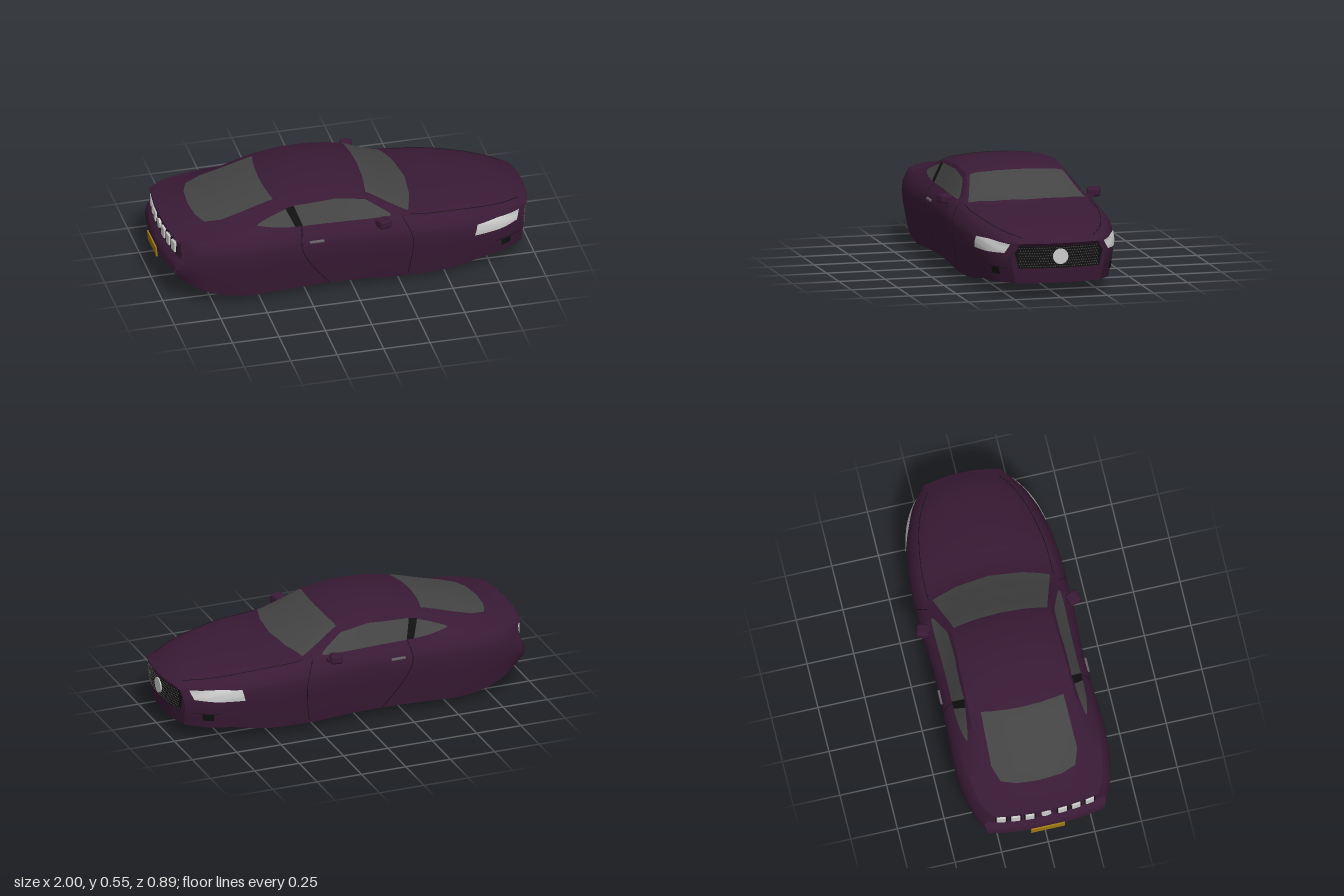
import * as THREE from 'three';
import { toCreasedNormals, mergeGeometries } from 'three/addons/utils/BufferGeometryUtils.js';
import { RoundedBoxGeometry } from 'three/addons/geometries/RoundedBoxGeometry.js';

const mat = (color) => new THREE.MeshStandardMaterial({ color, side: THREE.DoubleSide });
const paint = mat(0x391a35);
const glass = mat(0x444444);
const black = mat(0x111111);
const grey = mat(0xcccccc);
const floorGrey = mat(0x555555);
const discGrey = mat(0x5a5a5a);
const handleGrey = mat(0x666066);
const yellow = mat(0xa07a14);

// Body stations: x, half width, sill y, widest y, belt y, roof edge z, roof edge y, top y, plan bow
const STATIONS = [
  [-0.965, 0.322, 0.15, 0.26, 0.355, 0.27, 0.378, 0.39, -0.35],
  [-0.9, 0.364, 0.115, 0.27, 0.365, 0.28, 0.383, 0.397, -0.35],
  [-0.78, 0.395, 0.068, 0.28, 0.375, 0.285, 0.395, 0.425, -0.3],
  [-0.6, 0.408, 0.04, 0.29, 0.38, 0.285, 0.435, 0.475, -0.2],
  [-0.38, 0.4, 0.042, 0.29, 0.38, 0.28, 0.498, 0.532, -0.1],
  [-0.15, 0.393, 0.045, 0.29, 0.378, 0.275, 0.522, 0.555, 0],
  [0.08, 0.398, 0.045, 0.29, 0.376, 0.268, 0.503, 0.531, 0.2],
  [0.24, 0.405, 0.04, 0.285, 0.372, 0.3, 0.436, 0.461, 0.4],
  [0.38, 0.405, 0.035, 0.28, 0.363, 0.335, 0.385, 0.402, 0.55],
  [0.6, 0.396, 0.04, 0.275, 0.345, 0.33, 0.368, 0.385, 0.65],
  [0.8, 0.365, 0.066, 0.25, 0.315, 0.29, 0.342, 0.362, 0.8],
  [0.92, 0.318, 0.07, 0.22, 0.285, 0.25, 0.315, 0.335, 0.78],
  [1, 0.25, 0.075, 0.19, 0.262, 0.205, 0.288, 0.298, 0.65],
];
const S0 = -0.965, S1 = 1;
// x of the nose and tail faces by height: [y, x]
const NOSE = [[0.075, 0.97], [0.16, 0.98], [0.27, 0.985], [0.288, 1], [0.298, 0.995]];
const TAIL = [[0.15, -0.95], [0.2, -0.988], [0.245, -0.98], [0.275, -0.953], [0.355, -0.948], [0.378, -0.965], [0.39, -0.962]];

function lerpTable(t, x) {
  if (x <= t[0][0]) return t[0][1];
  for (let i = 1; i < t.length; i++) {
    if (x <= t[i][0]) {
      const k = (x - t[i - 1][0]) / (t[i][0] - t[i - 1][0] || 1);
      return t[i - 1][1] + k * (t[i][1] - t[i - 1][1]);
    }
  }
  return t[t.length - 1][1];
}

// Smooth value of one station column
function station(s, col) {
  const n = STATIONS.length;
  let i = 0;
  while (i < n - 2 && s > STATIONS[i + 1][0]) i++;
  const slope = (k) => {
    const a = STATIONS[Math.max(k - 1, 0)], b = STATIONS[Math.min(k + 1, n - 1)];
    return (b[col] - a[col]) / (b[0] - a[0]);
  };
  const a = STATIONS[i], b = STATIONS[i + 1], h = b[0] - a[0], t = (s - a[0]) / h;
  const t2 = t * t, t3 = t2 * t;
  return (2 * t3 - 3 * t2 + 1) * a[col] + (t3 - 2 * t2 + t) * h * slope(i)
    + (3 * t2 - 2 * t3) * b[col] + (t3 - t2) * h * slope(i + 1);
}

// Half cross-section [z, y] from the inner sill lip to the top centre
function section(s) {
  const [w, yb, yw, yk, zr, yr, yt] = [1, 2, 3, 4, 5, 6, 7].map((c) => station(s, c));
  const up = (k) => yr + k * (yt - yr);
  return [
    [0.84 * w, Math.max(yb, 0.068)], [0.91 * w, yb], [0.95 * w, yb + 0.35 * (yw - yb)],
    [0.985 * w, yb + 0.7 * (yw - yb)], [w, yw], [0.985 * w, yw + 0.5 * (yk - yw)],
    [0.92 * w, yk], [0.88 * w, yk + 0.014], [zr, yr], [0.8 * zr, up(0.55)], [0.42 * zr, up(0.88)], [0, yt],
  ];
}

function bodyX(s, z, y) {
  const front = THREE.MathUtils.smoothstep(s, 0.86, S1), back = 1 - THREE.MathUtils.smoothstep(s, S0, -0.85);
  return s + front * (lerpTable(NOSE, y) - S1) + back * (lerpTable(TAIL, y) - S0) - station(s, 8) * z * z;
}

function solve(x, f) {
  let a = S0, b = S1;
  for (let k = 0; k < 26; k++) {
    const m = (a + b) / 2;
    if (f(m) < x) a = m; else b = m;
  }
  return (a + b) / 2;
}

// Points lying just off the body, found from two coordinates
const OFF = 0.004;
function onSide([x, y]) {
  const zAt = (s) => lerpTable(section(s).slice(1).map(([z, h]) => [h, z]), y);
  const s = solve(x, (t) => bodyX(t, zAt(t), y));
  return new THREE.Vector3(x, y, zAt(s) + OFF);
}
function onTop([x, z]) {
  const yAt = (s) => lerpTable(section(s).slice(6).reverse(), Math.abs(z));
  const s = solve(x, (t) => bodyX(t, z, yAt(t)));
  return new THREE.Vector3(x, yAt(s) + OFF, z);
}
const onNose = ([z, y]) => new THREE.Vector3(bodyX(S1, z, y) + OFF, y, z);
const onTail = ([z, y]) => new THREE.Vector3(bodyX(S0, z, y) - OFF, y, z);

// Grid surface from a point rule
function grid(nu, nv, point) {
  const pos = [], idx = [];
  for (let i = 0; i <= nu; i++) for (let j = 0; j <= nv; j++) pos.push(...point(i, j).toArray());
  for (let i = 0; i < nu; i++) for (let j = 0; j < nv; j++) {
    const a = i * (nv + 1) + j, b = a + nv + 1;
    idx.push(a, b, b + 1, a, b + 1, a + 1);
  }
  const g = new THREE.BufferGeometry();
  g.setAttribute('position', new THREE.Float32BufferAttribute(pos, 3));
  g.setIndex(idx);
  g.computeVertexNormals();
  return g;
}
function along(poly, t) {
  const f = t * (poly.length - 1), i = Math.min(Math.floor(f), poly.length - 2), k = f - i;
  return [0, 1].map((c) => poly[i][c] + k * (poly[i + 1][c] - poly[i][c]));
}
// Panel between two outlines, laid on the body
const panel = (lower, upper, project, nu = 24, nv = 8) => grid(nu, nv, (i, j) =>
  project(along([along(lower, i / nu), along(upper, i / nu)], j / nv)));

// Thin dark line following the body
function seam(line, project) {
  const path = new THREE.SplineCurve(line.map((p) => new THREE.Vector2(...p))).getPoints(20).map((p) => project([p.x, p.y]));
  return new THREE.TubeGeometry(new THREE.CatmullRomCurve3(path), 40, 0.0018, 5)
    .translate(0, project === onTop ? -OFF : 0, project === onSide ? -OFF : 0);
}

export function createModel() {
  const car = new THREE.Group();
  car.name = 'car';
  const add = (name, geo, material, parent = car) => {
    const m = new THREE.Mesh(geo, material);
    m.name = name;
    parent.add(m);
    return m;
  };

  // Body shell, nose and tail faces
  const N = 64;
  const sAt = (i) => S0 + (S1 - S0) * i / N;
  const rings = Array.from({ length: N + 1 }, (_, i) => section(sAt(i)));
  add('bodyShell', toCreasedNormals(grid(N, 22, (i, j) => {
    const [z, y] = rings[i][j < 12 ? j : 22 - j];
    return new THREE.Vector3(bodyX(sAt(i), z, y), y, j < 12 ? z : -z);
  }), 0.5), paint);
  for (const [name, s, ring, dir] of [['noseFace', S1, rings[N], -1], ['tailFace', S0, rings[0], 1]]) {
    const rows = [];
    for (let k = 1; k < 11; k++) for (let q = 0; q < 3; q++) rows.push(along([ring[k], ring[k + 1]], q / 3));
    rows.push(ring[11]);
    add(name, toCreasedNormals(grid(14, rows.length - 1, (i, j) => {
      const [w, y] = rows[j], z = dir * w * (i / 7 - 1);
      return new THREE.Vector3(bodyX(s, z, y), y, z);
    }), 0.5), paint);
  }

  // Underside: painted ends and grey floor
  const under = (from, to) => grid(to - from, 10, (i, j) => {
    const [w, y] = rings[from + i][0], z = w * (j / 5 - 1);
    return new THREE.Vector3(bodyX(sAt(from + i), z, y), y, z);
  });
  add('rearUnderside', under(0, 5), paint);
  add('floor', under(5, 60), floorGrey);
  add('frontUnderside', under(60, N), paint);

  // Hover discs
  const profile = [[0, 0.016], [0.09, 0.013], [0.115, 0.022], [0.12, 0.03], [0.135, 0.03], [0.14, 0.004], [0.165, 0.004],
    [0.172, 0.018], [0.235, 0.022], [0.275, 0.05], [0.278, 0.085]].map((p) => new THREE.Vector2(...p));
  const discGeo = toCreasedNormals(new THREE.LatheGeometry(profile, 40), 0.5);
  for (const [name, x, y, tilt] of [['rearHoverDisc', -0.38, 0.005, -0.012], ['frontHoverDisc', 0.45, 0.002, 0.035]]) {
    const d = add(name, discGeo, discGrey);
    d.position.set(x, y, 0);
    d.rotation.z = tilt;
  }

  // Windscreen and rear window
  add('windscreen', panel(
    [[0.09, 0.25], [0.105, 0.13], [0.11, 0], [0.105, -0.13], [0.09, -0.25]],
    [[0.305, 0.315], [0.345, 0.18], [0.365, 0], [0.345, -0.18], [0.305, -0.315]], onTop), glass);
  add('rearWindow', panel(
    [[-0.4, 0.222], [-0.41, 0.17], [-0.42, 0.1], [-0.425, 0], [-0.42, -0.1], [-0.41, -0.17], [-0.4, -0.222]],
    [[-0.68, 0.23], [-0.765, 0.2], [-0.795, 0.12], [-0.805, 0], [-0.795, -0.12], [-0.765, -0.2], [-0.68, -0.23]], onTop), glass);

  // Everything that repeats on both sides
  for (const side of [1, -1]) {
    const half = new THREE.Group();
    half.name = side > 0 ? 'leftSide' : 'rightSide';
    half.scale.z = side;
    car.add(half);
    const lay = (name, lower, upper, m, project = onSide) => add(name, panel(lower, upper, project), m, half);
    lay('quarterWindow', [[-0.51, 0.428], [-0.4, 0.412], [-0.31, 0.405]], [[-0.5, 0.436], [-0.42, 0.466], [-0.35, 0.489]], glass);
    lay('windowPillar', [[-0.31, 0.405], [-0.27, 0.405]], [[-0.35, 0.491], [-0.305, 0.5]], black);
    lay('doorWindow', [[-0.27, 0.404], [-0.05, 0.4], [0.1, 0.398], [0.205, 0.398]],
      [[-0.305, 0.5], [-0.08, 0.508], [0.08, 0.482], [0.2, 0.408]], glass);
    lay('headlight', [[0.65, 0.226], [0.78, 0.225], [0.9, 0.232]], [[0.665, 0.287], [0.78, 0.29], [0.918, 0.28]], grey);
    lay('bumperSlot', [[0.805, 0.113], [0.86, 0.113]], [[0.805, 0.15], [0.86, 0.15]], black);
    add('bumperCrease', seam([[0.77, 0.152], [0.84, 0.153], [0.91, 0.15]], onSide), black, half);

    // Door and bonnet seams
    add('doorRearSeam', seam([[-0.275, 0.4], [-0.285, 0.3], [-0.235, 0.19], [-0.13, 0.05]], onSide), black, half);
    add('doorFrontSeam', seam([[0.265, 0.385], [0.305, 0.3], [0.31, 0.2], [0.29, 0.05]], onSide), black, half);
    add('bonnetSeam', seam([[0.31, 0.335], [0.5, 0.33], [0.7, 0.295], [0.83, 0.25], [0.93, 0.19]], onTop), black, half);

    // Door handle and mirror
    const handle = add('doorHandle', new RoundedBoxGeometry(0.08, 0.014, 0.014, 2, 0.005), handleGrey, half);
    handle.position.copy(onSide([-0.205, 0.327]));
    const mirror = add('mirror', new RoundedBoxGeometry(0.066, 0.048, 0.07, 3, 0.014), paint, half);
    mirror.position.set(0.15, 0.395, 0.403);
    mirror.rotation.set(-0.08, 0.3, 0);
    const stalk = add('mirrorStalk', new THREE.BoxGeometry(0.04, 0.016, 0.05), paint, half);
    stalk.position.set(0.17, 0.378, 0.37);

    // Tail lamps
    for (let k = 0; k < 3; k++) {
      const z = 0.055 + k * 0.075;
      lay('tailLampSurround', [[z, 0.285], [z + 0.064, 0.285]], [[z, 0.357], [z + 0.064, 0.357]], black, onTail);
      const lamp = add('tailLamp', new RoundedBoxGeometry(0.02, 0.062, 0.048, 2, 0.006), grey, half);
      lamp.position.copy(onTail([z + 0.032, 0.321]));
      lamp.rotation.y = 0.06 + k * 0.05;
    }
  }

  // Grille with a field of small studs
  const lower = [[0.218, 0.156], [-0.218, 0.156]], middle = [[0.238, 0.24], [-0.238, 0.24]], upper = [[0.215, 0.272], [-0.215, 0.272]];
  add('grilleLower', panel(lower, middle, onNose), black);
  add('grilleUpper', panel(middle, upper, onNose), black);
  const studs = [];
  for (let r = 0; r < 8; r++) for (let c = -16; c <= 16; c++) {
    const z = (c + (r % 2) / 2) * 0.013, p = onNose([z, 0.165 + r * 0.014]);
    studs.push(new THREE.OctahedronGeometry(0.0045).translate(p.x, p.y, p.z));
  }
  add('grilleStuds', mergeGeometries(studs), mat(0x4a4a4a));

  // Round discs on the nose and tail, and the rear plate
  const round = (name, r, p) => {
    const d = add(name, new THREE.CylinderGeometry(r, r, 0.014, 24), grey);
    d.rotation.z = Math.PI / 2;
    d.position.copy(p);
  };
  round('noseDisc', 0.041, onNose([0, 0.218]));
  round('tailDisc', 0.026, onTail([0, 0.321]));
  const plate = add('rearPlate', new THREE.BoxGeometry(0.008, 0.055, 0.18), yellow);
  plate.position.set(-0.993, 0.203, 0);
  plate.rotation.z = 0.1;
  return car;
}
